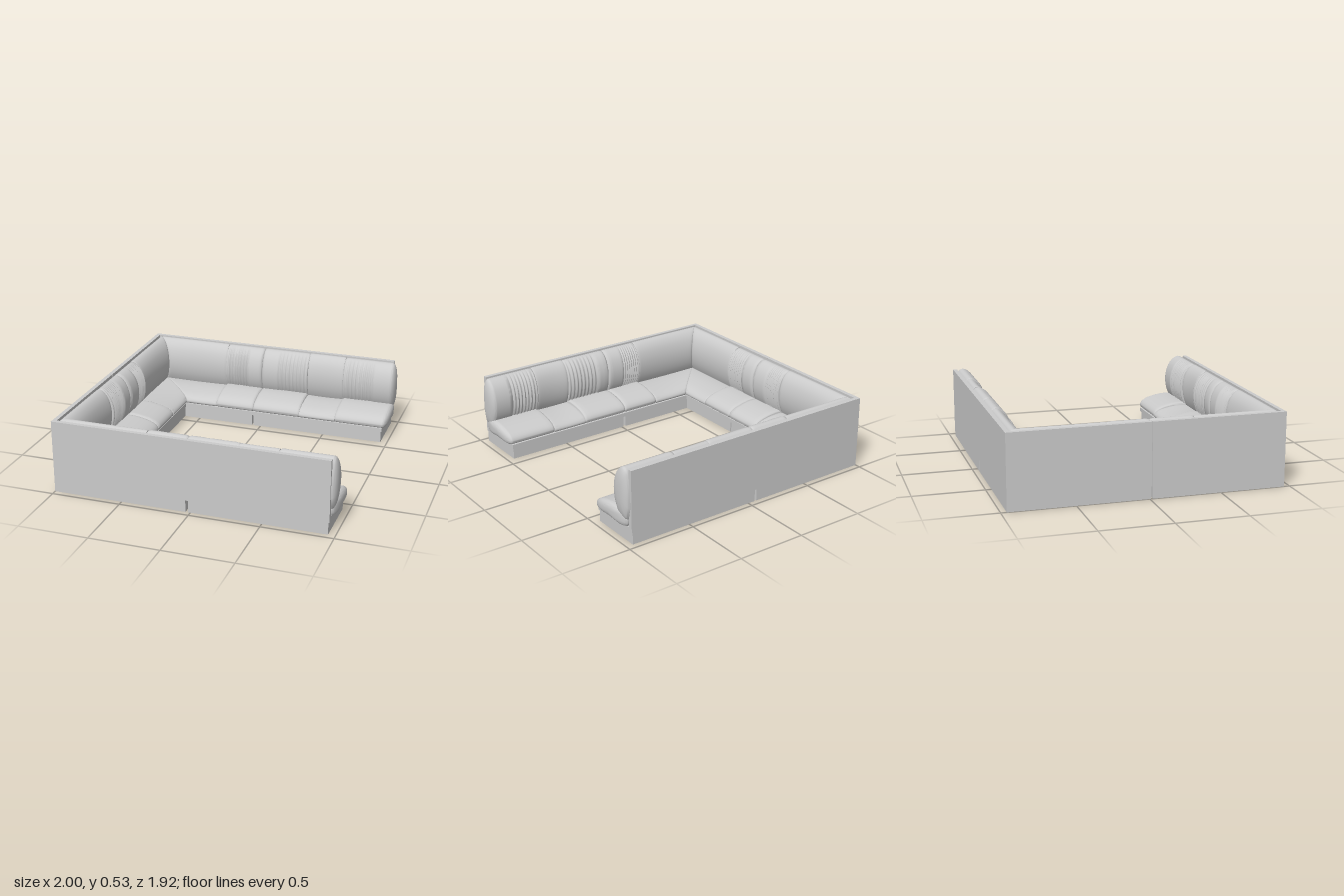
import * as THREE from 'three';
import { toCreasedNormals } from 'three/addons/utils/BufferGeometryUtils.js';

const material = new THREE.MeshStandardMaterial({ color: 0xcccccc, roughness: 0.8 });

// Cross-sections as [depth from the outer wall, height], anticlockwise
const spline = (pts, n) => new THREE.CatmullRomCurve3(
  pts.map(([d, y]) => new THREE.Vector3(d, y, 0)), true).getPoints(n).slice(0, n);
const SEAT = {
  points: spline([[0.05, 0.115], [0.2, 0.113], [0.375, 0.115], [0.395, 0.135], [0.385, 0.165], [0.345, 0.193],
    [0.28, 0.213], [0.2, 0.225], [0.12, 0.222], [0.05, 0.2]], 32),
  origin: [0.05, 0.115], centre: [0.23, 0.165],
};
const BACK = {
  points: spline([[0.032, 0.17], [0.11, 0.165], [0.155, 0.23], [0.176, 0.30], [0.179, 0.37], [0.167, 0.43],
    [0.143, 0.48], [0.105, 0.517], [0.068, 0.528], [0.034, 0.5]], 32),
  origin: [0.032, 0.17], centre: [0.09, 0.36],
};

// Three runs: place() maps (along, depth, height) into the model
const RUNS = [
  { name: 'frontRun', place: (s, d, y) => [s, y, 0.96 - d], flip: false, pieces: [
    { a: -1, b: -0.32, mitreA: 1 },
    { a: -0.32, b: -0.03, puff: 1, pleats: [-0.315, -0.16] },
    { a: -0.03, b: 0.33, puff: 1, pleats: [0.07, 0.325] },
    { a: 0.33, b: 0.60 },
    { a: 0.60, b: 0.955, puff: 1, pleats: [0.61, 0.83], dome: 0.04 }] },
  { name: 'rearRun', place: (s, d, y) => [s, y, -0.96 + d], flip: true, pieces: [
    { a: -1, b: -0.36, mitreA: 1 },
    { a: -0.36, b: -0.06, puff: 1, pleats: [-0.355, -0.17] },
    { a: -0.06, b: 0.31, puff: 1, pleats: [0.07, 0.305] },
    { a: 0.31, b: 0.59 },
    { a: 0.59, b: 0.955, puff: 1, pleats: [0.6, 0.83], dome: 0.04 }] },
  { name: 'middleRun', place: (s, d, y) => [-1 + d, y, s], flip: false, pieces: [
    { a: -0.96, b: -0.28, mitreA: 1 },
    { a: -0.28, b: 0.015, puff: 1, pleats: [-0.275, -0.13] },
    { a: 0.015, b: 0.32, puff: 1, pleats: [0.14, 0.315] },
    { a: 0.32, b: 0.96, mitreB: 1 }] },
];

// Positions along a piece: dense at the ends and across the pleats
function stations({ a, b, pleats }, pleated) {
  const list = [];
  for (const e of [0, 0.002, 0.006, 0.013, 0.021, 0.03]) list.push(a + e, b - e);
  for (let s = a + 0.05; s < b - 0.04; s += 0.025) list.push(s);
  if (pleated && pleats) for (let i = 0; i <= 48; i++) list.push(THREE.MathUtils.lerp(pleats[0], pleats[1], i / 48));
  return list.sort((p, q) => p - q);
}

// One upholstered piece lofted through scaled cross-sections
function cushion(section, run, piece) {
  const { points, origin, centre } = section;
  const { a, b, puff, pleats, mitreA = 0, mitreB = 0, dome = 0 } = piece;
  const isBack = section === BACK;
  const rings = [];
  const ring = (s, cap = 1) => {
    const u = THREE.MathUtils.clamp((s - a) / (b - a), 0, 1);
    const e = Math.min(s - a, dome ? 1 : b - s);
    const t = Math.max(0, 1 - e / 0.03);
    const pinch = 1 - (puff ? 0.12 : 0.03) * (1 - Math.sqrt(1 - t * t));
    const sag = puff ? 1 : 1 - 0.06 * Math.sin(Math.PI * u);
    let fold = 0;
    if (isBack && pleats && s > pleats[0] && s < pleats[1])
      fold = -0.009 * (0.5 - 0.5 * Math.cos(16 * Math.PI * (s - pleats[0]) / (pleats[1] - pleats[0])));
    rings.push(points.map((p) => {
      let d = p.x - origin[0], y = p.y - origin[1];
      if (isBack) {
        d *= pinch * sag * (puff ? 1 : 0.87);
        y *= 1 - (1 - pinch) * 0.2;
        d += fold * THREE.MathUtils.smoothstep(d, 0.03, 0.1);
      } else {
        d *= 1 - (1 - pinch) * 0.2;
        y *= pinch * sag * (puff ? 1 : 0.84);
      }
      d = centre[0] + (d + origin[0] - centre[0]) * cap;
      y = centre[1] + (y + origin[1] - centre[1]) * cap;
      const along = s + mitreA * d * (1 - u) - mitreB * d * u;
      return run.place(along, d, y);
    }));
  };
  ring(a, 0.001);
  for (const s of stations(piece, isBack)) ring(s);
  if (dome) {
    for (let i = 1; i <= 10; i++) {
      const t = i / 10 * Math.PI / 2;
      ring(b + dome * Math.sin(t), Math.max(0.001, Math.pow(Math.cos(t), 0.8)));
    }
  } else ring(b, 0.001);

  const n = points.length, index = [];
  for (let i = 0; i < rings.length - 1; i++) for (let j = 0; j < n; j++) {
    const p = i * n + j, q = i * n + (j + 1) % n;
    if (run.flip) index.push(p, p + n, q, q, p + n, q + n);
    else index.push(p, q, p + n, q, q + n, p + n);
  }
  const geometry = new THREE.BufferGeometry();
  geometry.setAttribute('position', new THREE.Float32BufferAttribute(rings.flat(2), 3));
  geometry.setIndex(index);
  return toCreasedNormals(geometry, 0.9);
}

function add(parent, name, geometry) {
  const mesh = new THREE.Mesh(geometry, material);
  mesh.name = name;
  parent.add(mesh);
}

// Box given by its limits on each axis
function box(parent, name, [x0, x1], [y0, y1], [z0, z1]) {
  const geometry = new THREE.BoxGeometry(x1 - x0, y1 - y0, z1 - z0);
  geometry.translate((x0 + x1) / 2, (y0 + y1) / 2, (z0 + z1) / 2);
  add(parent, name, geometry);
}

export function createModel() {
  const model = new THREE.Group();
  model.name = 'cornerBench';

  // Plinth blocks with narrow gaps between the modules
  const plinth = new THREE.Group();
  plinth.name = 'plinth';
  model.add(plinth);
  const low = [0, 0.085];
  box(plinth, 'plinthBlock', [-1, -0.035], low, [0.575, 0.96]);
  box(plinth, 'plinthBlock', [-0.015, 0.95], low, [0.575, 0.96]);
  box(plinth, 'plinthBlock', [-1, -0.07], low, [-0.96, -0.578]);
  box(plinth, 'plinthBlock', [-0.055, 0.95], low, [-0.96, -0.578]);
  box(plinth, 'plinthBlock', [-1, -0.625], low, [-0.578, 0.008]);
  box(plinth, 'plinthBlock', [-1, -0.625], low, [0.02, 0.575]);

  // Seat board, one U shape lying on the plinth
  const outline = [[-0.99, -0.95], [0.957, -0.95], [0.957, -0.572], [-0.615, -0.572],
    [-0.615, 0.567], [0.957, 0.567], [0.957, 0.95], [-0.99, 0.95]];
  const board = new THREE.ExtrudeGeometry(
    new THREE.Shape(outline.map(([x, z]) => new THREE.Vector2(x, -z))), { depth: 0.03, bevelEnabled: false });
  board.rotateX(-Math.PI / 2).translate(0, 0.085, 0);
  add(model, 'seatBoard', board);

  // Tall outer walls
  const walls = new THREE.Group();
  walls.name = 'outerWalls';
  model.add(walls);
  const tall = [0.085, 0.525];
  box(walls, 'frontWall', [-1, 0.957], tall, [0.93, 0.96]);
  box(walls, 'rearWall', [-1, 0.957], tall, [-0.96, -0.93]);
  box(walls, 'middleWall', [-1, -0.97], tall, [-0.93, 0.012]);
  box(walls, 'middleWall', [-1, -0.97], tall, [0.016, 0.93]);

  // Seat and back upholstery
  for (const run of RUNS) {
    const group = new THREE.Group();
    group.name = run.name;
    model.add(group);
    for (const piece of run.pieces) {
      add(group, 'seatCushion', cushion(SEAT, run, piece));
      add(group, 'backCushion', cushion(BACK, run, piece));
    }
  }
  return model;
}
